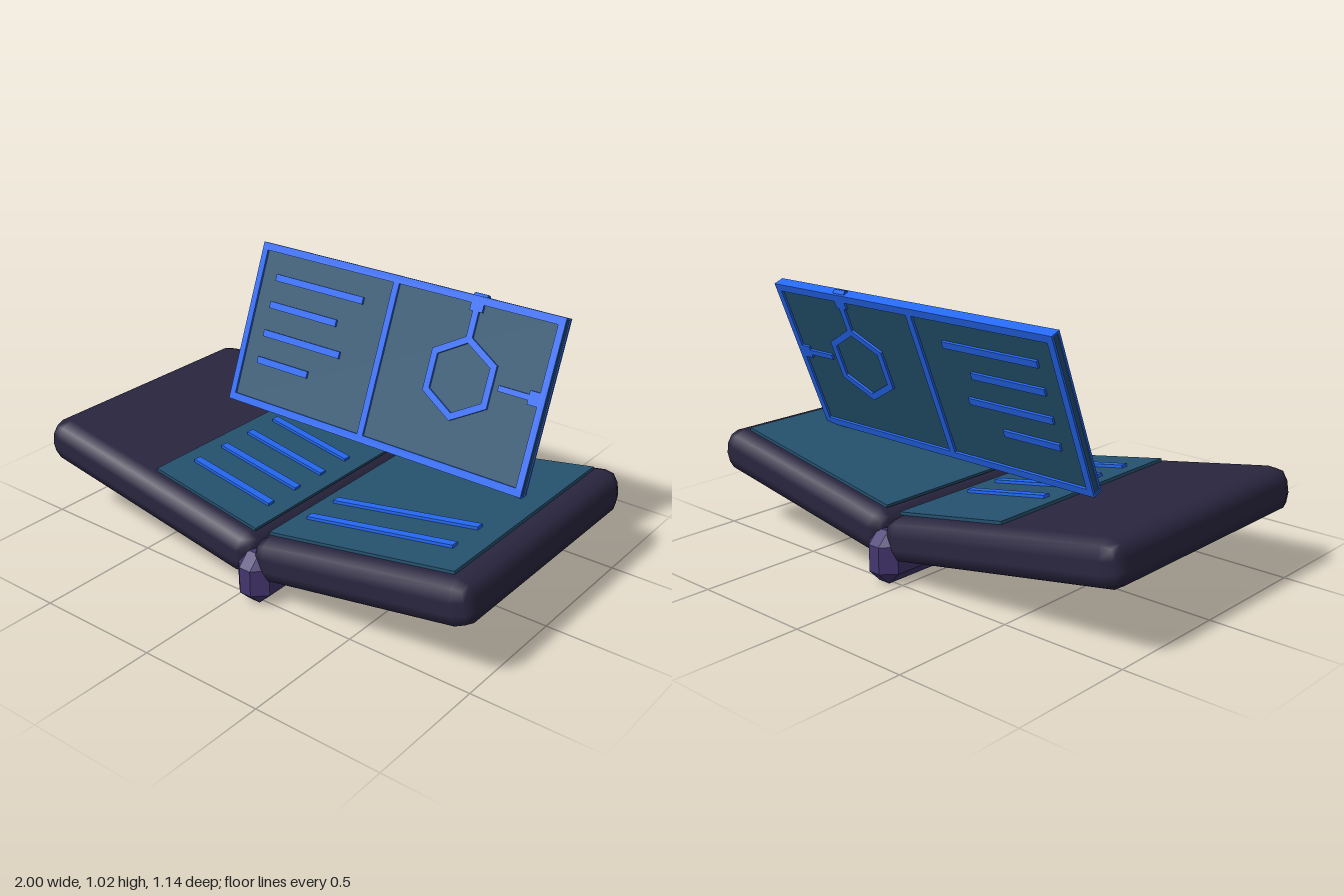
import * as THREE from 'three';
import { RoundedBoxGeometry } from 'three/addons/geometries/RoundedBoxGeometry.js';
import { ConvexGeometry } from 'three/addons/geometries/ConvexGeometry.js';

const material = (color) => new THREE.MeshStandardMaterial({ color });
const coverMat = material(0x2a2640);
const spineMat = material(0x43366f);
const paneMat = material(0x25526f);
const lineMat = material(0x2468f2);

function add(parent, name, geometry, mat, x = 0, y = 0, z = 0) {
  const mesh = new THREE.Mesh(geometry, mat);
  mesh.name = name;
  mesh.position.set(x, y, z);
  parent.add(mesh);
  return mesh;
}

const box = (parent, name, mat, w, h, d, x, y, z) =>
  add(parent, name, new THREE.BoxGeometry(w, h, d), mat, x, y, z);

// Box with every edge cut at 45 degrees
function chamferedBox(w, h, d, c) {
  const points = [];
  for (const x of [-w / 2, w / 2]) for (const y of [-h / 2, h / 2]) for (const z of [-d / 2, d / 2]) {
    const [ix, iy, iz] = [x, y, z].map((v) => v - Math.sign(v) * c);
    points.push(new THREE.Vector3(x, iy, iz), new THREE.Vector3(ix, y, iz), new THREE.Vector3(ix, iy, z));
  }
  return new ConvexGeometry(points);
}

// One padded cover with its page and raised text bars
function makeCover(name, { x, y, angle, length, page, bars }) {
  const cover = new THREE.Group();
  cover.name = name;
  cover.position.set(x, y, 0);
  cover.rotation.z = THREE.MathUtils.degToRad(angle);
  add(cover, 'coverSlab', new RoundedBoxGeometry(length, 0.175, 1.09, 1, 0.065), coverMat);
  box(cover, 'page', paneMat, page.length, 0.012, 0.935, page.x, 0.0935, 0);
  for (const z of bars.rows) box(cover, 'pageBar', lineMat, bars.length, 0.012, 0.032, bars.x, 0.105, z);
  return cover;
}

// Flat hexagonal ring with a corner at the top
function hexagonRing(outer, inner, depth) {
  const corners = (r) => Array.from({ length: 6 }, (_, i) => {
    const a = Math.PI / 2 + (i * Math.PI) / 3;
    return new THREE.Vector2(r * Math.cos(a), r * Math.sin(a));
  });
  const shape = new THREE.Shape(corners(outer));
  shape.holes.push(new THREE.Path(corners(inner)));
  return new THREE.ExtrudeGeometry(shape, { depth, bevelEnabled: false }).translate(0, 0, -depth / 2);
}

// Leaning screen, with the same line work on both faces
function makeScreen() {
  const screen = new THREE.Group();
  screen.name = 'screen';
  screen.position.set(0.1, 0.705, -0.247);
  screen.rotation.x = THREE.MathUtils.degToRad(-21.7);
  const W = 1.4, H = 0.662, T = 0.03, D = 0.01;
  box(screen, 'pane', paneMat, W - 0.006, H - 0.006, 0.024, 0, 0, 0);
  for (const s of [-1, 1]) box(screen, 'frameEdge', lineMat, W, 0.008, 0.03, 0, s * (H / 2 - 0.004), 0);

  for (const side of [-1, 1]) {
    const z = side * 0.0165;
    const strip = (name, w, h, x, y) => box(screen, name, lineMat, w, h, D, x, y, z);
    // Frame and divider
    for (const s of [-1, 1]) {
      strip('frameRail', W, T, 0, s * (H - T) / 2);
      strip('frameStile', T * 0.9, H - 2 * T, s * (W - T * 0.9) / 2, 0);
    }
    strip('divider', 0.027, H - 2 * T, -0.028, 0);
    // Text lines, aligned on one edge
    [[0.44, 0.202], [0.34, 0.089], [0.39, -0.029], [0.26, -0.142]].forEach(([length, y]) =>
      strip('textLine', length, 0.028, -0.6 + length / 2, y));
    // Hexagon diagram with its two leads
    add(screen, 'hexagon', hexagonRing(0.163, 0.133, D), lineMat, 0.338, 0.02, z);
    strip('topLead', 0.026, 0.14, 0.338, 0.245);
    strip('topLeadEnd', 0.055, 0.045, 0.338, 0.295);
    strip('sideLead', 0.17, 0.022, 0.59, 0.025);
    strip('sideLeadEnd', 0.045, 0.052, 0.655, 0.025);
  }
  // Small knob on the top edge
  const knob = new THREE.CylinderGeometry(0.014, 0.014, 0.06, 8).rotateZ(Math.PI / 2);
  add(screen, 'topKnob', knob, lineMat, 0.338, H / 2 - 0.004, 0);
  return screen;
}

export function createModel() {
  const model = new THREE.Group();
  model.name = 'openBook';
  add(model, 'spine', chamferedBox(0.15, 0.205, 1.14, 0.05), spineMat, 0.075, 0.1025, 0);
  model.add(
    makeCover('rightCover', {
      x: -0.463, y: 0.256, angle: -10, length: 1.08,
      page: { x: 0.244, length: 0.503 },
      bars: { x: 0.243, length: 0.381, rows: [0.31, 0.155, 0, -0.155] },
    }),
    makeCover('leftCover', {
      x: 0.535, y: 0.252, angle: 10, length: 0.936,
      page: { x: -0.015, length: 0.802 },
      bars: { x: -0.035, length: 0.64, rows: [0.31, 0.155] },
    }),
    makeScreen(),
  );
  return model;
}
